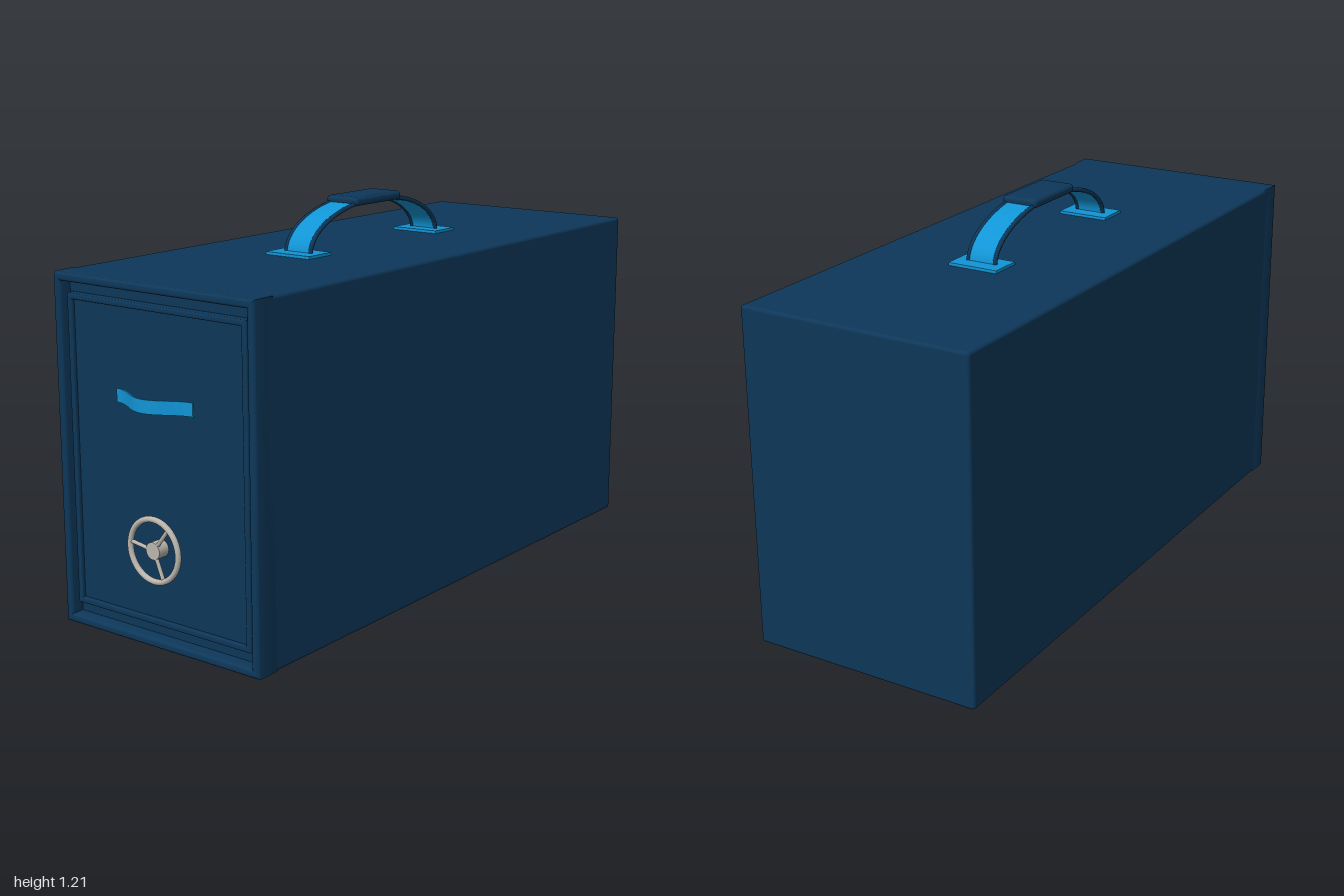
import * as THREE from 'three';
import { RoundedBoxGeometry } from 'three/addons/geometries/RoundedBoxGeometry.js';
import { toCreasedNormals } from 'three/addons/utils/BufferGeometryUtils.js';

const mat = (name, color) => new THREE.MeshStandardMaterial({ name, color });

export function createModel() {
  const group = new THREE.Group();
  const navy = mat('navy', 0x0d3759);
  const blue = mat('bright blue', 0x1195d6);
  const metal = mat('pale metal', 0xbab6ae);

  const add = (name, geometry, material, x = 0, y = 0, z = 0, parent = group) => {
    const mesh = new THREE.Mesh(geometry, material);
    mesh.name = name;
    mesh.position.set(x, y, z);
    parent.add(mesh);
    return mesh;
  };

  // Rectangular frame with bevelled edges, from z0 to z1
  const rect = (P, w, h) => new P([[-w, -h], [w, -h], [w, h], [-w, h]].map(([x, y]) => new THREE.Vector2(x, y)));
  const frame = (w, h, t, z0, z1, b) => {
    const shape = rect(THREE.Shape, w, h);
    shape.holes.push(rect(THREE.Path, w - t, h - t));
    const g = new THREE.ExtrudeGeometry(shape, {
      depth: z1 - z0 - 2 * b, bevelEnabled: true, bevelThickness: b, bevelSize: b, bevelOffset: -b, bevelSegments: 3,
    });
    g.translate(0, 0, z0 + b);
    return toCreasedNormals(g, 0.7);
  };

  // Thin band: extrude an xy outline given by a centre line offset to both sides
  const band = (points, thickness, width) => {
    const side = (s) => points.map((p, i) => {
      const t = points[Math.min(i + 1, points.length - 1)].clone().sub(points[Math.max(i - 1, 0)]).normalize();
      return new THREE.Vector2(p.x - t.y * s, p.y + t.x * s);
    });
    const outline = [...side(thickness / 2), ...side(-thickness / 2).reverse()];
    const g = new THREE.ExtrudeGeometry(new THREE.Shape(outline), { depth: width, bevelEnabled: false });
    g.translate(0, 0, -width / 2);
    return toCreasedNormals(g, 0.6);
  };

  // Case and recessed door
  const midY = 0.5285;
  add('caseBody', new RoundedBoxGeometry(0.75, 1.055, 1.915, 3, 0.01), navy, 0, midY, -0.0425);
  add('caseRim', frame(0.375, 0.5275, 0.026, 0.87, 0.957, 0.009), navy, 0, midY);
  add('doorPanel', new THREE.BoxGeometry(0.66, 0.92, 0.04), navy, 0, 0.53, 0.911);
  add('doorFrame', frame(0.336, 0.466, 0.018, 0.9, 0.943, 0.005), navy, 0, 0.53);

  // Curved door pull
  const pull = [];
  for (let i = 0; i <= 32; i++) {
    const x = -0.144 + 0.288 * i / 32;
    pull.push(new THREE.Vector2(x, 0.944 + 0.0265 * (1 + Math.cos(Math.PI * x / 0.144))));
  }
  const pullGeometry = band(pull, 0.005, 0.04);
  pullGeometry.rotateX(Math.PI / 2);
  add('doorPull', pullGeometry, blue, 0, 0.725, 0);

  // Hand wheel
  const wheel = new THREE.Group();
  wheel.name = 'handWheel';
  wheel.position.set(0, 0.298, 0.963);
  group.add(wheel);
  add('wheelRim', new THREE.TorusGeometry(0.092, 0.009, 12, 56), metal, 0, 0, 0, wheel);
  const hub = new THREE.CylinderGeometry(0.026, 0.026, 0.04, 28);
  hub.rotateX(Math.PI / 2);
  add('wheelHub', hub, metal, 0, 0, -0.014, wheel);
  for (let i = 0; i < 3; i++) {
    const a = THREE.MathUtils.degToRad(52 + 120 * i);
    const spoke = add('wheelSpoke', new THREE.CylinderGeometry(0.006, 0.006, 0.07, 10), metal,
      0.057 * Math.cos(a), 0.057 * Math.sin(a), 0, wheel);
    spoke.rotation.z = a - Math.PI / 2;
  }

  // Carrying handle: arched strap with dark piping, grip and mounting plates
  const handle = new THREE.Group();
  handle.name = 'carryHandle';
  handle.position.set(0, 0, -0.02);
  group.add(handle);
  const arch = [];
  for (let i = 0; i <= 40; i++) {
    const a = Math.PI * i / 40;
    arch.push(new THREE.Vector2(0.329 * Math.cos(a), 1.058 + 0.139 * Math.sin(a)));
  }
  const strap = band(arch, 0.007, 0.088);
  strap.rotateY(-Math.PI / 2);
  add('strap', strap, blue, 0, 0, 0, handle);
  for (const s of [-1, 1]) {
    const path = new THREE.CatmullRomCurve3(arch.map((p) => new THREE.Vector3(s * 0.046, p.y, p.x)));
    add('strapPiping', new THREE.TubeGeometry(path, 60, 0.007, 8), navy, 0, 0, 0, handle);
    add('mountingPlate', new THREE.BoxGeometry(0.166, 0.01, 0.105), blue, 0, 1.06, s * 0.329, handle);
  }
  add('grip', new RoundedBoxGeometry(0.12, 0.028, 0.236, 4, 0.012), navy, 0, 1.197, 0, handle);

  return group;
}
